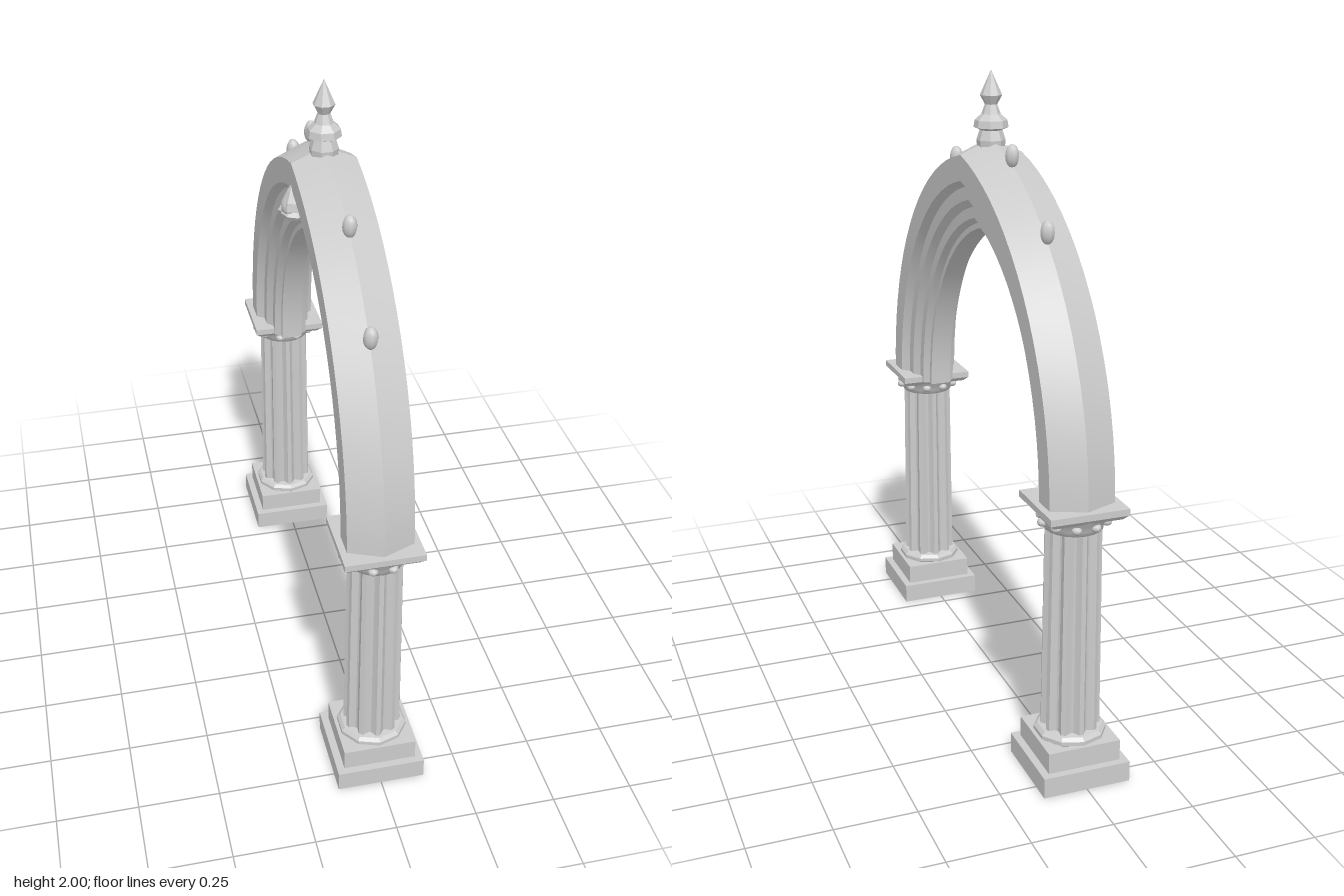
import * as THREE from 'three';
import { toCreasedNormals } from 'three/addons/utils/BufferGeometryUtils.js';

const smooth = new THREE.MeshStandardMaterial({ color: 0xcccccc });
const faceted = new THREE.MeshStandardMaterial({ color: 0xcccccc, flatShading: true });

function add(parent, name, geometry, material = smooth, x = 0, y = 0, z = 0) {
  const mesh = new THREE.Mesh(geometry, material);
  mesh.name = name;
  mesh.position.set(x, y, z);
  parent.add(mesh);
  return mesh;
}

const lathe = (profile, sides) =>
  new THREE.LatheGeometry(profile.map(([r, y]) => new THREE.Vector2(r, y)), sides);

// One half of the pointed arch: a stepped moulding swept along an arc and cut at z = 0
function halfArchGeometry() {
  const springY = 0.85, offset = 0.175;
  const side = [[0.915, 0.1], [0.837, 0.1], [0.82, 0.075], [0.778, 0.075],
    [0.757, 0.055], [0.722, 0.055], [0.708, 0.035], [0.69, 0.035]];
  const outline = [[0.957, 0], ...side, ...side.map(([r, x]) => [r, -x]).reverse()];
  const shape = new THREE.Shape(outline.map(([r, x]) => new THREE.Vector2(r, x)));
  const geometry = new THREE.ExtrudeGeometry(shape, { depth: 1, steps: 18, bevelEnabled: false });
  const p = geometry.attributes.position;
  for (let i = 0; i < p.count; i++) {
    const r = p.getX(i), x = p.getY(i);
    const angle = p.getZ(i) * Math.acos(offset / r);
    p.setXYZ(i, x, springY + r * Math.sin(angle), r * Math.cos(angle) - offset);
  }
  return toCreasedNormals(geometry, 0.35);
}

// Shaft with scalloped flutes between narrow ribs, slightly tapered
function shaftGeometry(ribs, radius, height) {
  const points = [];
  const steps = 6;
  for (let i = 0; i < ribs * steps; i++) {
    const u = (i % steps) / (steps - 1);
    const a = ((Math.floor(i / steps) + 0.13 + u * 0.74) / ribs) * Math.PI * 2 + Math.PI / 2;
    const r = radius - 0.016 * Math.sin(u * Math.PI);
    points.push(new THREE.Vector2(r * Math.cos(a), r * Math.sin(a)));
  }
  const geometry = new THREE.ExtrudeGeometry(new THREE.Shape(points),
    { depth: height, steps: 1, bevelEnabled: false });
  const p = geometry.attributes.position;
  for (let i = 0; i < p.count; i++) {
    const k = 1 - 0.06 * p.getZ(i) / height;
    p.setXY(i, p.getX(i) * k, p.getY(i) * k);
  }
  geometry.rotateX(-Math.PI / 2);
  return toCreasedNormals(geometry, 0.3);
}

function createColumn() {
  const column = new THREE.Group();
  column.name = 'column';
  add(column, 'plinth', new THREE.BoxGeometry(0.272, 0.063, 0.272), smooth, 0, 0.0315, 0);
  add(column, 'upperPlinth', new THREE.BoxGeometry(0.226, 0.065, 0.226), smooth, 0, 0.095, 0);
  add(column, 'baseRing', lathe([[0.095, 0.12], [0.108, 0.13], [0.108, 0.142],
    [0.098, 0.152], [0.07, 0.156]], 10), faceted);
  add(column, 'shaft', shaftGeometry(10, 0.088, 0.65), smooth, 0, 0.145, 0);

  // Capital: flared bell ringed by bosses, under a square slab
  add(column, 'capitalBell', lathe([[0.07, 0.783], [0.086, 0.787], [0.088, 0.8],
    [0.1, 0.82], [0.112, 0.84]], 20), smooth);
  for (let i = 0; i < 10; i++) {
    const a = ((i + 0.5) / 10) * Math.PI * 2;
    const boss = add(column, 'capitalBoss', new THREE.SphereGeometry(0.016, 8, 6), smooth,
      0.096 * Math.sin(a), 0.811, 0.096 * Math.cos(a));
    boss.scale.y = 0.8;
  }
  const slope = new THREE.CylinderGeometry(0.12 * Math.SQRT2, 0.105 * Math.SQRT2, 0.016, 4);
  add(column, 'abacusUnderside', slope.rotateY(Math.PI / 4), faceted, 0, 0.84, 0);
  add(column, 'abacus', new THREE.BoxGeometry(0.24, 0.02, 0.24), smooth, 0, 0.857, 0);
  return column;
}

// Small hooded head carved on one face just under the apex
function createHeadOrnament() {
  const head = new THREE.Group();
  head.name = 'headOrnament';
  add(head, 'face', new THREE.SphereGeometry(0.034, 10, 8), smooth, -0.004, 0.035, 0);
  add(head, 'hood', lathe([[0.046, 0.03], [0.04, 0.055], [0.022, 0.085], [0, 0.112]], 8),
    faceted, 0.008);
  add(head, 'collar', lathe([[0, 0], [0.04, 0], [0.05, 0.014], [0.03, 0.03], [0, 0.03]], 8),
    faceted, 0.012);
  const nose = add(head, 'nose', new THREE.ConeGeometry(0.008, 0.025, 4), faceted, -0.037, 0.035, 0);
  nose.rotation.z = -0.3;
  head.scale.x = 0.85;
  head.position.set(-0.1, 1.577, 0);
  return head;
}

export function createModel() {
  const model = new THREE.Group();
  model.name = 'pointedArch';

  const archGeometry = halfArchGeometry();
  for (const s of [1, -1]) {
    const half = add(model, 'archHalf', archGeometry);
    half.rotation.y = s > 0 ? 0 : Math.PI;
    const column = createColumn();
    column.position.z = s * 0.679;
    model.add(column);
  }

  // Beads standing along the ridge
  for (const [z, y] of [[0.58, 1.47], [0.328, 1.688], [-0.18, 1.767], [-0.46, 1.593]]) {
    const bead = add(model, 'ridgeBead', new THREE.SphereGeometry(0.022, 8, 8), smooth, 0, y, z);
    bead.scale.y = 1.6;
  }

  // Octagonal finial on the apex
  const finial = add(model, 'finial', lathe([[0.042, 1.76], [0.045, 1.79], [0.035, 1.82],
    [0.054, 1.828], [0.05, 1.85], [0.03, 1.868], [0.019, 1.897], [0.034, 1.925], [0, 2]], 8), faceted);
  finial.rotation.y = Math.PI / 8;

  model.add(createHeadOrnament());
  return model;
}
